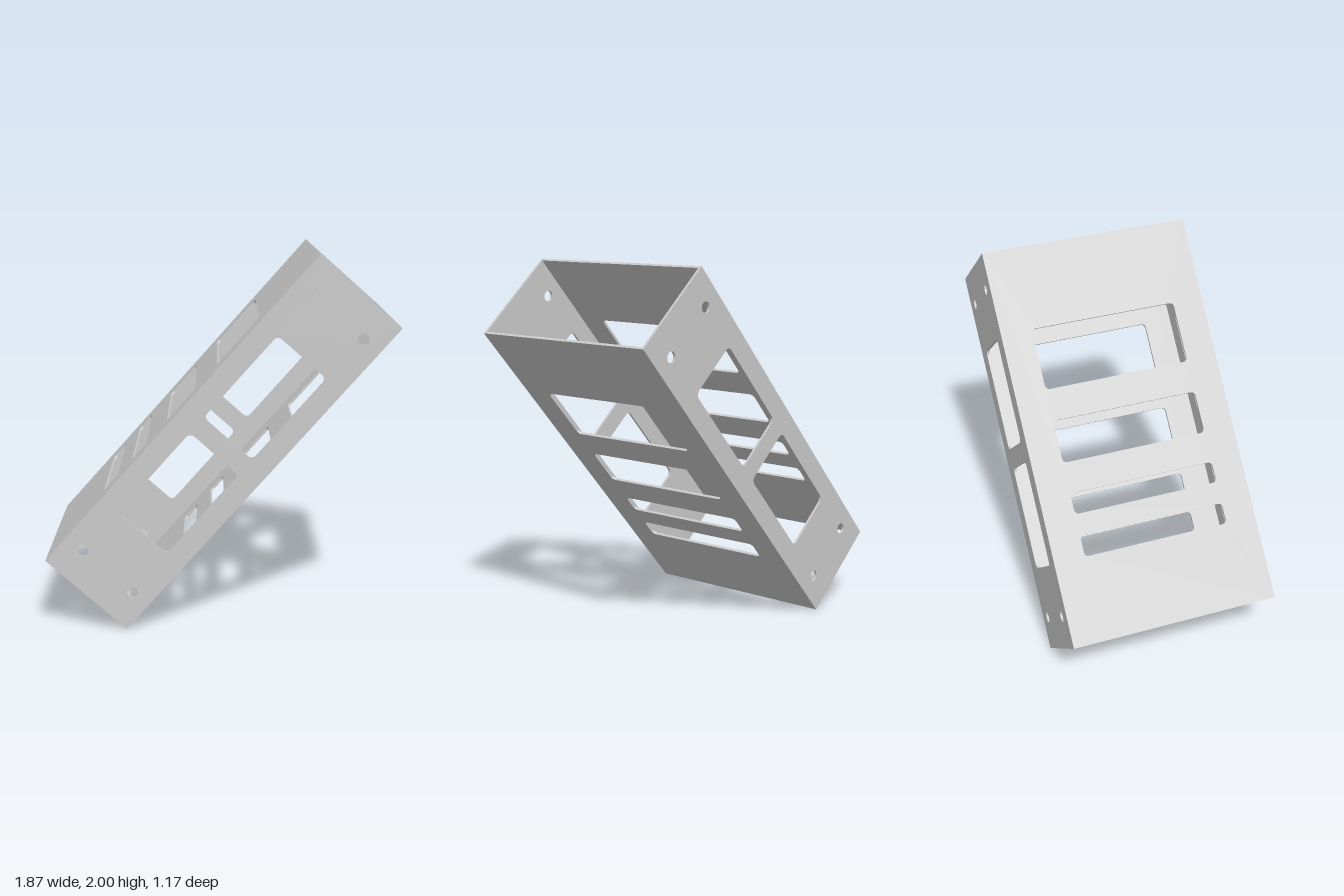
import * as THREE from 'three';

const L = 2.167, H = 0.573, W = 1.166, T = 0.014; // length, height, width, wall thickness
const TILT = 0.8442;

// Adds a closed rounded rectangle to a path
function roundedRect(path, x0, x1, y0, y1, r) {
  path.moveTo(x0 + r, y0);
  path.lineTo(x1 - r, y0);
  path.absarc(x1 - r, y0 + r, r, -Math.PI / 2, 0);
  path.lineTo(x1, y1 - r);
  path.absarc(x1 - r, y1 - r, r, 0, Math.PI / 2);
  path.lineTo(x0 + r, y1);
  path.absarc(x0 + r, y1 - r, r, Math.PI / 2, Math.PI);
  path.lineTo(x0, y0 + r);
  path.absarc(x0 + r, y0 + r, r, Math.PI, Math.PI * 1.5);
  return path;
}

// Flat plate with cut-outs, centred on its thickness
function plate(length, height, holes) {
  const a = length / 2, b = height / 2;
  const shape = new THREE.Shape([[-a, -b], [a, -b], [a, b], [-a, b]].map(p => new THREE.Vector2(...p)));
  shape.holes.push(...holes);
  return new THREE.ExtrudeGeometry(shape, { depth: T, bevelEnabled: false, curveSegments: 10 })
    .translate(0, 0, -T / 2);
}

export function createModel() {
  const model = new THREE.Group();
  const duct = new THREE.Group();
  duct.name = 'ventilatedSleeve';
  const material = new THREE.MeshStandardMaterial({ color: 0xcccccc });

  const add = (name, geometry, y, z) => {
    const mesh = new THREE.Mesh(geometry, material);
    mesh.name = name;
    mesh.position.set(0, y, z);
    duct.add(mesh);
  };

  // Narrow side walls: two windows and four screw holes each
  const sideHoles = [[-0.629, -0.054], [0.054, 0.629]].map(([x0, x1]) =>
    roundedRect(new THREE.Path(), x0, x1, -0.17, 0.17, 0.03));
  for (const x of [-0.908, 0.908])
    for (const y of [-0.173, 0.173])
      sideHoles.push(new THREE.Path().absarc(x, y, 0.03, 0, Math.PI * 2));
  const side = plate(L, H, sideHoles);
  add('frontWall', side, 0, W / 2 - T / 2);
  add('backWall', side, 0, -W / 2 + T / 2);

  // Wide walls: four slots growing towards the upper end; both ends stay open
  const slots = [[0.455, 0.57], [0.688, 0.802], [0.97, 1.202], [1.375, 1.712]].map(([u0, u1]) =>
    roundedRect(new THREE.Path(), u0 - L / 2, u1 - L / 2, -0.411, 0.411, 0.025));
  const wide = plate(L, W - 2 * T, slots).rotateX(Math.PI / 2);
  add('upperSlottedWall', wide, H / 2 - T / 2, 0);
  add('lowerSlottedWall', wide, -H / 2 + T / 2, 0);

  // Lean the sleeve onto its lower edge
  duct.rotation.z = TILT;
  duct.position.y = (L * Math.sin(TILT) + H * Math.cos(TILT)) / 2;
  model.add(duct);
  return model;
}
